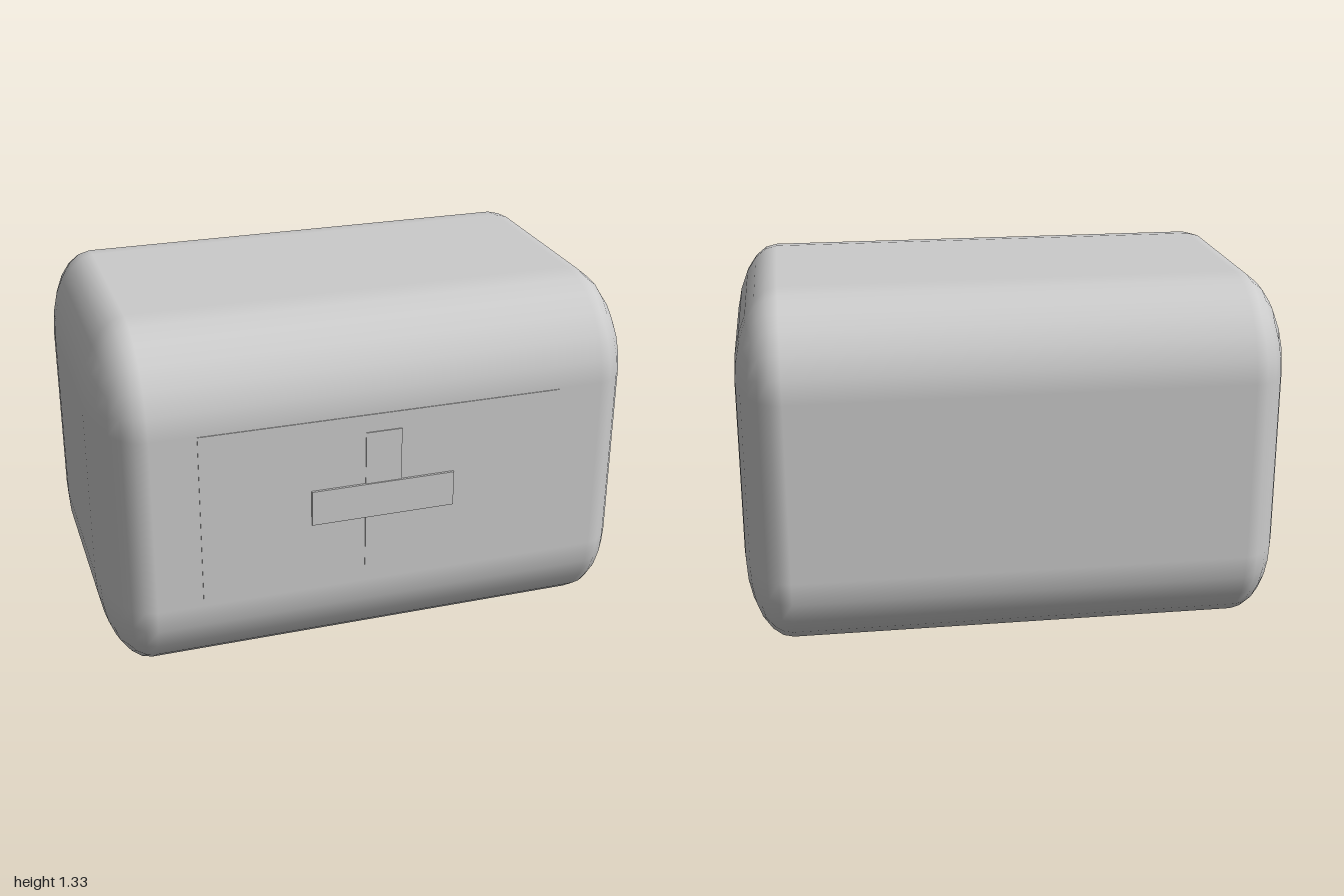
import * as THREE from 'three';

// Box whose rounded corners are eighths of an ellipsoid, in 15 degree steps
function roundedBody(half, radius) {
  const steps = 6, n = steps + 1;
  const geo = new THREE.BoxGeometry(1, 1, 1, n, n, n);
  const pos = geo.attributes.position, nor = geo.attributes.normal;
  const p = new THREE.Vector3();
  for (let i = 0; i < pos.count; i++) {
    p.fromBufferAttribute(pos, i);
    const sign = new THREE.Vector3(Math.sign(p.x), Math.sign(p.y), Math.sign(p.z));
    const bend = (c) => Math.sign(c) * Math.tan(Math.round(Math.abs(c) * n - 0.5) * Math.PI / 12);
    const dir = new THREE.Vector3(bend(p.x), bend(p.y), bend(p.z)).normalize();
    p.copy(half).sub(radius).multiply(sign).add(dir.clone().multiply(radius));
    pos.setXYZ(i, p.x, p.y, p.z);
    dir.divide(radius).normalize();
    nor.setXYZ(i, dir.x, dir.y, dir.z);
  }
  return geo;
}

export function createModel() {
  const model = new THREE.Group();
  model.name = 'firstAidCase';
  const material = new THREE.MeshStandardMaterial({ color: 0xcccccc });
  const centreY = 0.667, centreZ = -0.006, bodyFront = 0.661;

  const add = (name, geometry, y, z) => {
    const mesh = new THREE.Mesh(geometry, material);
    mesh.name = name;
    mesh.position.set(0, y, z);
    model.add(mesh);
  };

  // Main case
  add('caseBody', roundedBody(new THREE.Vector3(1, 0.667, 0.667),
    new THREE.Vector3(0.167, 0.333, 0.333)), centreY, centreZ);

  // Thin layers on the front: panel, then the two bars of the cross
  const layers = [
    ['frontPanel', 1.333, 0.667, 0.664],
    ['crossUpright', 0.133, 0.533, 0.668],
    ['crossBar', 0.533, 0.133, 0.673],
  ];
  for (const [name, width, height, front] of layers) {
    const back = bodyFront - 0.01;
    add(name, new THREE.BoxGeometry(width, height, front - back), centreY, (front + back) / 2);
  }
  return model;
}
